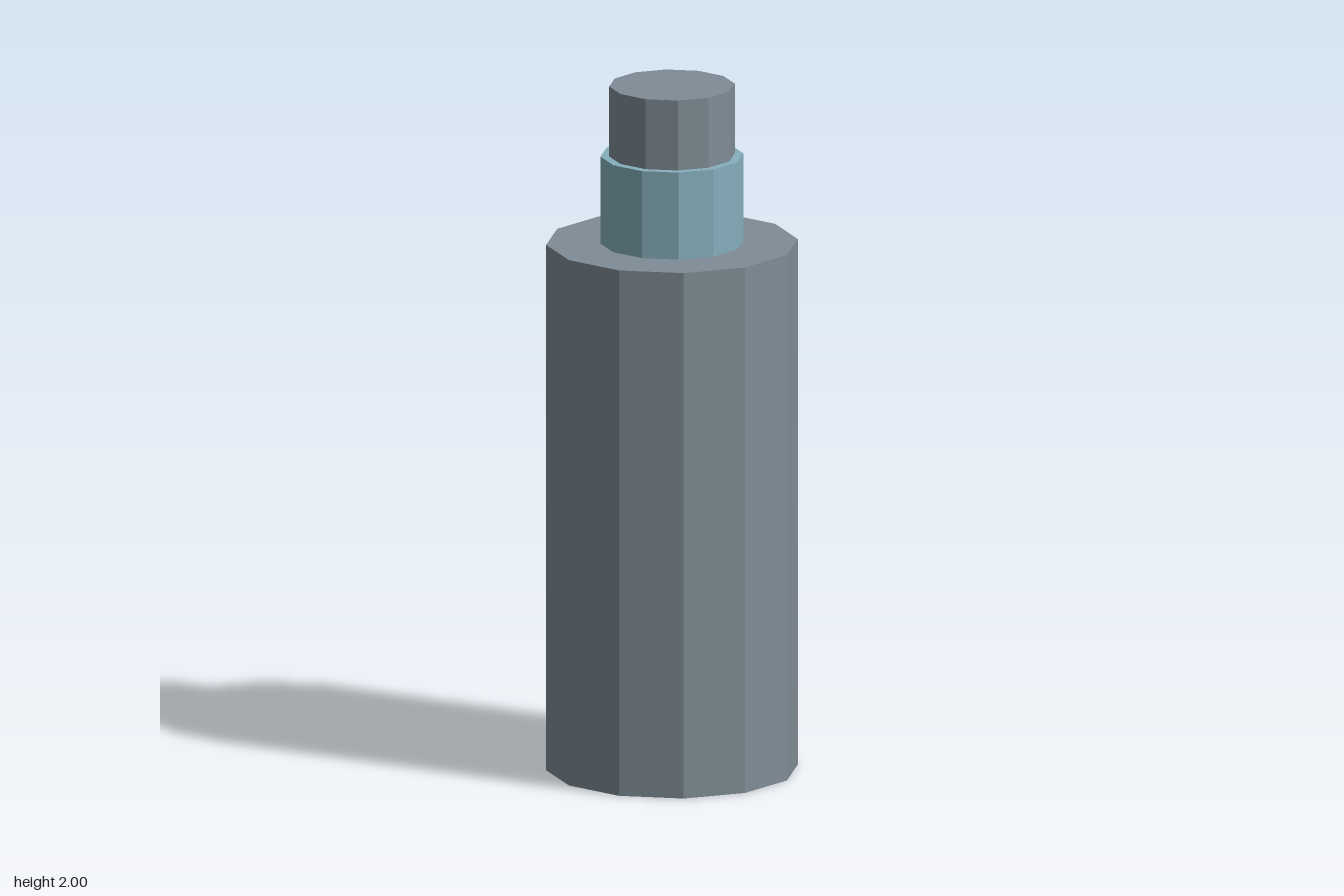
import * as THREE from 'three';

const SIDES = 12;

export function createModel() {
  const model = new THREE.Group();
  model.name = 'canister';

  const material = (name, color) => {
    const m = new THREE.MeshStandardMaterial({ color, flatShading: true });
    m.name = name;
    return m;
  };
  const steel = material('steel grey', 0x7f8c96);
  const blue = material('pale blue', 0x86afbd);

  // Upright faceted cylinder between two heights
  const addCylinder = (name, radius, bottom, top, mat) => {
    const geometry = new THREE.CylinderGeometry(radius, radius, top - bottom, SIDES);
    const mesh = new THREE.Mesh(geometry, mat);
    mesh.name = name;
    mesh.position.y = (bottom + top) / 2;
    model.add(mesh);
  };

  addCylinder('body', 0.359, 0, 1.54, steel);
  addCylinder('collar', 0.204, 1.54, 1.795, blue);
  addCylinder('cap', 0.179, 1.795, 2, steel);

  return model;
}
